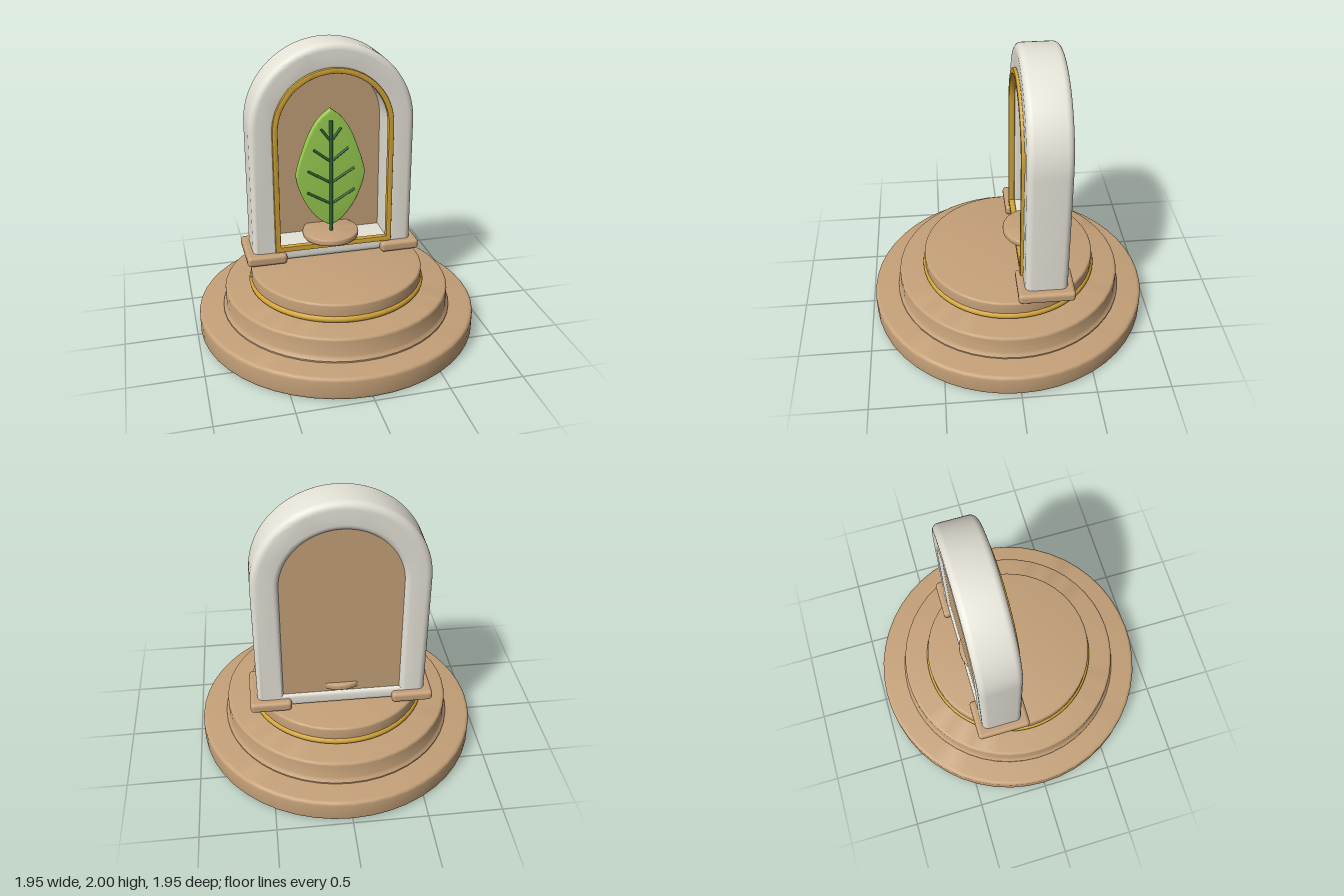
import * as THREE from 'three';
import { toCreasedNormals } from 'three/addons/utils/BufferGeometryUtils.js';
import { RoundedBoxGeometry } from 'three/addons/geometries/RoundedBoxGeometry.js';

const flat = (name, color) => {
  const m = new THREE.MeshStandardMaterial({ color });
  m.name = name;
  return m;
};

// Outline with straight sides and a semicircular top
function archPath(Type, half, bottom, spring) {
  const p = new Type();
  p.moveTo(-half, bottom);
  p.lineTo(half, bottom);
  p.lineTo(half, spring);
  p.absarc(0, spring, half, 0, Math.PI, false);
  p.lineTo(-half, bottom);
  return p;
}

// Extrusion between two z planes with rounded edges inside the outline
function slab(shape, zBack, zFront, bevel, segments = 4) {
  const g = new THREE.ExtrudeGeometry(shape, {
    depth: zFront - zBack - 2 * bevel,
    bevelEnabled: bevel > 0,
    bevelThickness: bevel,
    bevelSize: bevel,
    bevelOffset: -bevel,
    bevelSegments: segments,
    curveSegments: 32,
  });
  g.translate(0, 0, zBack + bevel);
  return toCreasedNormals(g, 0.6);
}

// Solid disc with rounded rims; an optional flare widens its foot
function disc(radius, y0, y1, round, flare = 0) {
  const pts = [[0, y0]];
  const arc = (r, y, from) => {
    for (let i = 0; i <= 4; i++) {
      const a = from + (i / 4) * (Math.PI / 2);
      pts.push([r - round + Math.cos(a) * round, y + Math.sin(a) * round]);
    }
  };
  if (flare) pts.push([radius + flare, y0], [radius + flare, y0 + 0.015], [radius + flare * 0.4, y0 + 0.03], [radius, y0 + 0.045]);
  else arc(radius, y0 + round, -Math.PI / 2);
  arc(radius, y1 - round, 0);
  pts.push([0, y1]);
  const g = new THREE.LatheGeometry(pts.map(([x, y]) => new THREE.Vector2(x, y)), 48);
  return toCreasedNormals(g, 0.6);
}

// Thin round rod between two points
function rod(a, b, radius) {
  const dir = b.clone().sub(a);
  const g = new THREE.CylinderGeometry(radius, radius, dir.length(), 10);
  g.applyQuaternion(new THREE.Quaternion().setFromUnitVectors(new THREE.Vector3(0, 1, 0), dir.normalize()));
  const mid = a.clone().add(b).multiplyScalar(0.5);
  return g.translate(mid.x, mid.y, mid.z);
}

export function createModel() {
  const model = new THREE.Group();
  const wood = flat('wood', 0xc4a078);
  const white = flat('ivory', 0xe6e3d8);
  const gold = flat('gold', 0xd4a537);
  const green = flat('leafGreen', 0x98cb50);
  const dark = flat('veinGreen', 0x2f6236);
  const add = (name, geometry, material, parent = model) => {
    const mesh = new THREE.Mesh(geometry, material);
    mesh.name = name;
    parent.add(mesh);
    return mesh;
  };

  // Stepped round base
  add('baseTier', disc(0.975, 0, 0.16, 0.025), wood);
  add('middleTier', disc(0.785, 0.155, 0.325, 0.02, 0.02), wood);
  add('topTier', disc(0.6, 0.32, 0.46, 0.015), wood);
  const ring = add('goldRing', new THREE.TorusGeometry(0.59, 0.025, 12, 64), gold);
  ring.rotation.x = Math.PI / 2;
  ring.position.y = 0.35;

  // Arched frame
  const frame = archPath(THREE.Shape, 0.572, 0.465, 1.428);
  frame.holes.push(archPath(THREE.Path, 0.388, 0.575, 1.42));
  add('archFrame', slab(frame, -0.35, -0.062, 0.045, 6), white);

  // Panel closing the back of the arch
  add('backPanel', slab(archPath(THREE.Shape, 0.41, 0.555, 1.42), -0.33, -0.285, 0), wood);

  // Gold trim around the opening
  const trim = archPath(THREE.Shape, 0.42, 0.545, 1.42);
  trim.holes.push(archPath(THREE.Path, 0.382, 0.585, 1.42));
  add('archTrim', slab(trim, -0.085, -0.042, 0.008, 2), gold);

  // Feet under both sides of the arch
  for (const [name, s] of [['leftFoot', 1], ['rightFoot', -1]]) {
    const foot = add(name, new RoundedBoxGeometry(0.28, 0.075, 0.38, 4, 0.025), wood);
    foot.position.set(s * 0.482, 0.503, -0.205);
  }

  // Small round pedestal
  const pedestal = add('pedestal', disc(0.2, 0.588, 0.635, 0.012), wood);
  pedestal.position.z = -0.163;

  // Leaf
  const plant = new THREE.Group();
  plant.name = 'leaf';
  plant.position.z = -0.163;
  model.add(plant);
  const side = [[0.075, 0.715], [0.155, 0.81], [0.21, 0.92], [0.245, 1.05], [0.232, 1.13], [0.196, 1.24], [0.145, 1.37], [0.08, 1.47]];
  const half = new THREE.CatmullRomCurve3(
    [[0, 0.668], ...side, [0, 1.537]].map(([x, y]) => new THREE.Vector3(x, y, 0)),
  ).getPoints(36);
  const outline = [
    ...half.map((p) => new THREE.Vector2(p.x, p.y)),
    ...half.slice(1, -1).reverse().map((p) => new THREE.Vector2(-p.x, p.y)),
  ];
  add('leafBlade', slab(new THREE.Shape(outline), -0.025, 0.025, 0.012, 3), green, plant);

  // Stem and paired veins on the front of the blade
  const V = (x, y) => new THREE.Vector3(x, y, 0.025);
  add('stem', rod(V(0, 0.61), V(0, 1.455), 0.013), dark, plant);
  const veins = [[0.84, 0.17, 0.94], [1.0, 0.165, 1.1], [1.157, 0.123, 1.253], [1.305, 0.07, 1.4]];
  for (const [y0, x, y1] of veins)
    for (const s of [1, -1]) add('vein', rod(V(0, y0), V(s * x, y1), 0.009), dark, plant);

  return model;
}
